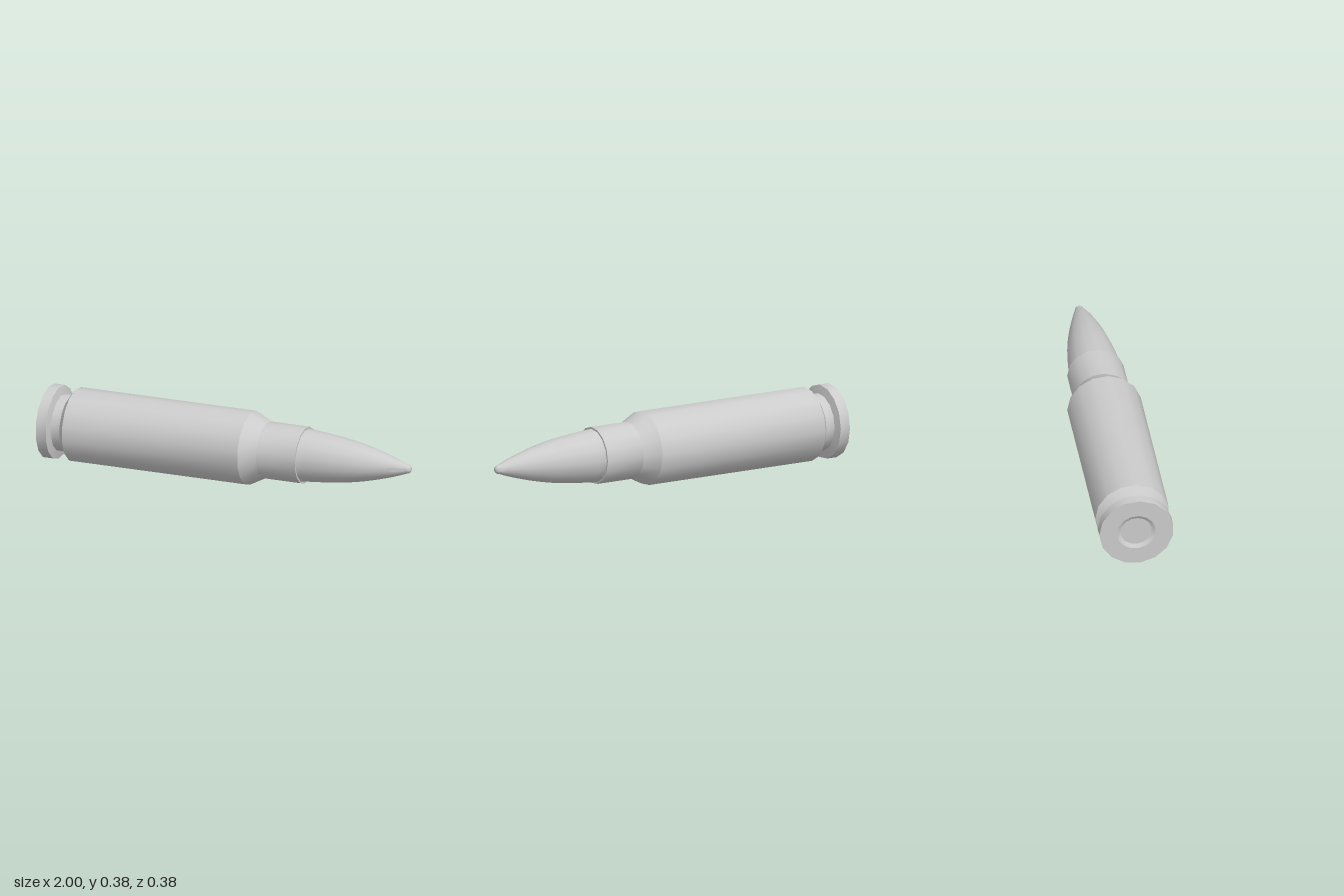
import * as THREE from 'three';
import { toCreasedNormals } from 'three/addons/utils/BufferGeometryUtils.js';

const SIDES = 15;
const material = new THREE.MeshStandardMaterial({ color: 0xcccccc });

// Turns a profile of [x, radius] pairs, given from back to front, around the x axis
function turned(name, profile) {
  const points = profile.map(([x, r]) => new THREE.Vector2(r, x));
  const lathe = new THREE.LatheGeometry(points, SIDES, Math.PI);
  lathe.rotateZ(-Math.PI / 2);
  const mesh = new THREE.Mesh(toCreasedNormals(lathe, 0.45), material);
  mesh.name = name;
  return mesh;
}

export function createModel() {
  const group = new THREE.Group();
  group.name = 'cartridge';

  // Case: rim face with primer pocket, extractor groove, body, shoulder, neck and mouth
  group.add(turned('case', [
    [-0.988, 0.08], [-1, 0.1], [-1, 0.191],
    [-0.945, 0.191], [-0.935, 0.147], [-0.887, 0.147],
    [-0.855, 0.191], [0.115, 0.191],
    [0.2, 0.147], [0.415, 0.147], [0.415, 0.13],
  ]));

  // Primer: disc set slightly into the base
  group.add(turned('primer', [[-0.988, 0], [-0.988, 0.08]]));

  // Bullet: tapering nose with a small rounded tip
  const nose = new THREE.SplineCurve([
    [0.415, 0.137], [0.54, 0.126], [0.68, 0.107],
    [0.8, 0.08], [0.9, 0.051], [0.975, 0.024],
  ].map(([x, r]) => new THREE.Vector2(x, r)));
  const profile = nose.getPoints(12).map((p) => [p.x, p.y]);
  for (let i = 1; i <= 5; i++) {
    const a = (i / 5) * Math.PI / 2;
    profile.push([0.975 + 0.025 * Math.sin(a), 0.024 * Math.cos(a)]);
  }
  group.add(turned('bullet', profile));

  // Lift to rest on the ground and centre the odd-sided section
  group.position.set(0, 0.19, 0.002);
  return group;
}
